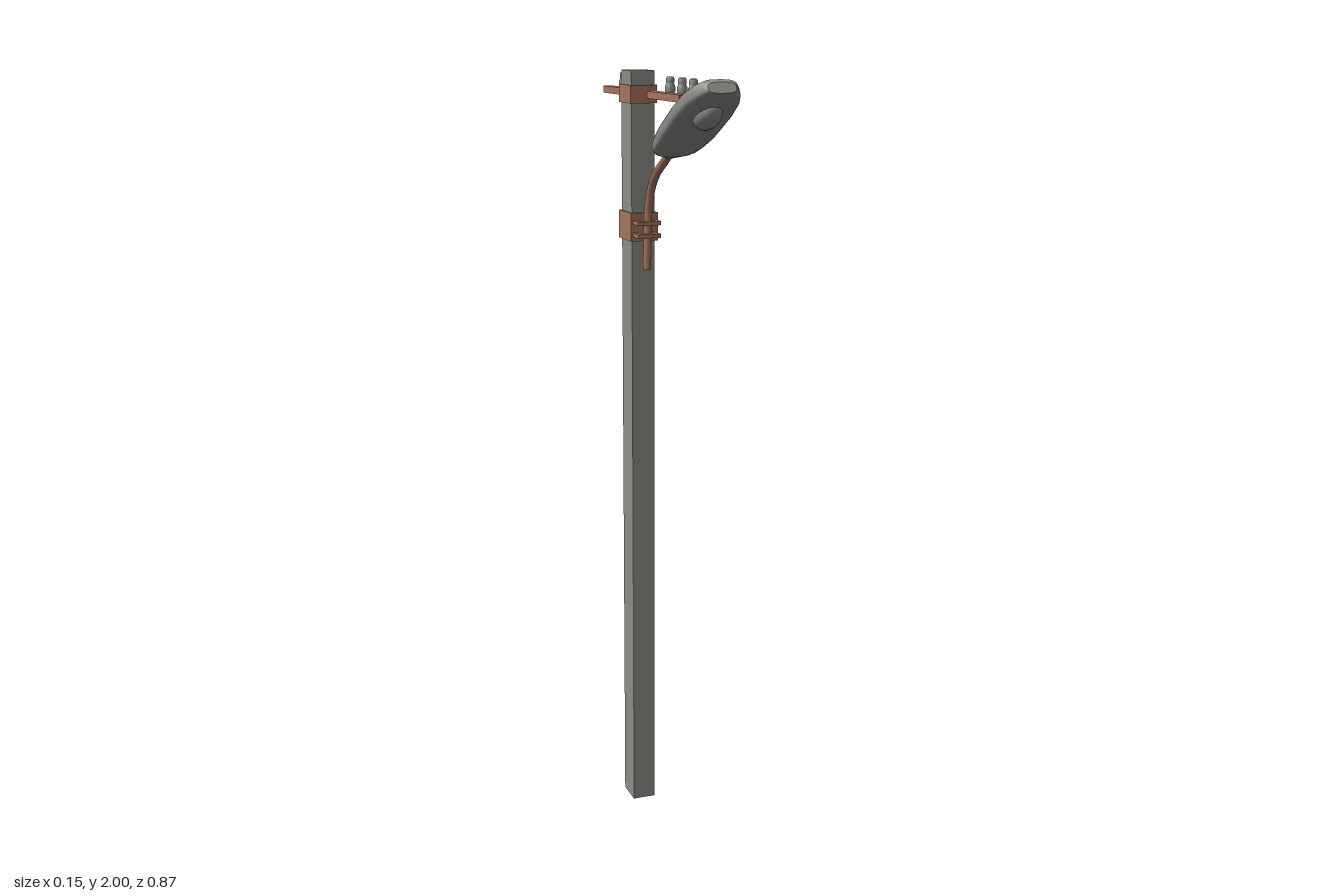
import * as THREE from 'three';

const mat = (name, color) => {
  const m = new THREE.MeshStandardMaterial({ color });
  m.name = name;
  return m;
};

// Closed smooth hull lofted through rounded-rectangle sections [s, halfWidth, top, bottom]
function loft(sections, sides = 32, power = 3.2) {
  const pos = [], idx = [];
  const pw = (v) => Math.sign(v) * Math.abs(v) ** (2 / power);
  for (const [s, w, top, bottom] of sections) {
    const mid = (top + bottom) / 2, h = (top - bottom) / 2;
    for (let j = 0; j < sides; j++) {
      const a = (j / sides) * Math.PI * 2;
      pos.push(w * pw(Math.cos(a)), mid + h * pw(Math.sin(a)), s);
    }
  }
  for (let i = 0; i < sections.length - 1; i++) {
    for (let j = 0; j < sides; j++) {
      const k = (j + 1) % sides;
      const a = i * sides + j, b = i * sides + k;
      idx.push(a, b, a + sides, b, b + sides, a + sides);
    }
  }
  // End caps, with their own corners so the edges stay crisp
  for (const end of [0, sections.length - 1]) {
    const [s, , top, bottom] = sections[end];
    const c = pos.length / 3;
    pos.push(0, (top + bottom) / 2, s);
    for (let j = 0; j < sides; j++) {
      const p = (end * sides + j) * 3;
      pos.push(pos[p], pos[p + 1], pos[p + 2]);
    }
    for (let j = 0; j < sides; j++) {
      const a = c + 1 + j, b = c + 1 + ((j + 1) % sides);
      if (end === 0) idx.push(c, b, a);
      else idx.push(c, a, b);
    }
  }
  const g = new THREE.BufferGeometry();
  g.setAttribute('position', new THREE.Float32BufferAttribute(pos, 3));
  g.setIndex(idx);
  g.computeVertexNormals();
  return g;
}

export function createModel() {
  const model = new THREE.Group();
  model.name = 'streetLightPole';
  const concrete = mat('concreteGrey', 0x8c8c88);
  const rust = mat('rustyMetal', 0xa6765e);

  const add = (name, geo, material, x = 0, y = 0, z = 0, parent = model) => {
    const m = new THREE.Mesh(geo, material);
    m.name = name;
    m.position.set(x, y, z);
    parent.add(m);
    return m;
  };
  const box = (w, h, d) => new THREE.BoxGeometry(w, h, d);
  const poleZ = -0.133;

  add('pole', box(0.062, 2, 0.076), concrete, 0, 1, poleZ);

  // Clamp bands: hollow rectangular collars around the pole
  const collar = (name, y, h, w, d) => {
    const rect = (P, hw, hd) => {
      const p = new P();
      p.moveTo(-hw, -hd).lineTo(hw, -hd).lineTo(hw, hd).lineTo(-hw, hd).closePath();
      return p;
    };
    const shape = rect(THREE.Shape, w / 2, d / 2);
    shape.holes.push(rect(THREE.Path, 0.0305, 0.0375));
    const g = new THREE.ExtrudeGeometry(shape, { depth: h, bevelEnabled: false });
    g.rotateX(-Math.PI / 2);
    add(name, g, rust, 0, y, poleZ);
  };
  collar('upperClamp', 1.92, 0.045, 0.07, 0.088);
  collar('lowerClamp', 1.575, 0.072, 0.073, 0.095);

  // Crossarm with insulators on hooked pins
  add('crossarm', box(0.026, 0.018, 0.57), rust, 0.022, 1.941, -0.15);
  const insulatorProfile = [
    [0, 0], [0.01, 0], [0.013, 0.004], [0.0125, 0.018], [0.0095, 0.023],
    [0.0105, 0.027], [0.0105, 0.036], [0.008, 0.04], [0, 0.04],
  ].map(([r, y]) => new THREE.Vector2(r, y));
  const insulatorGeo = new THREE.LatheGeometry(insulatorProfile, 16);
  const pinPath = new THREE.CatmullRomCurve3([
    new THREE.Vector3(-0.024, -0.008, 0), new THREE.Vector3(-0.008, -0.009, 0),
    new THREE.Vector3(-0.001, -0.006, 0), new THREE.Vector3(0, 0.004, 0),
  ]);
  const pinGeo = new THREE.TubeGeometry(pinPath, 10, 0.003, 8);
  for (const z of [-0.403, -0.316, -0.231, -0.05, 0.033, 0.108]) {
    add('insulator', insulatorGeo, concrete, 0.056, 1.946, z);
    add('insulatorPin', pinGeo, concrete, 0.056, 1.946, z);
  }

  // Bent lamp arm
  const armPath = new THREE.CatmullRomCurve3([
    [1.505, -0.067], [1.6, -0.062], [1.67, -0.053], [1.72, -0.03],
    [1.757, 0.008], [1.785, 0.055], [1.822, 0.115],
  ].map(([y, z]) => new THREE.Vector3(0, y, z)));
  add('lampArm', new THREE.TubeGeometry(armPath, 40, 0.0105, 14), rust);
  const cap = add('armEnd', new THREE.CircleGeometry(0.0105, 14), rust, 0, 1.505, -0.067);
  cap.rotation.x = Math.PI / 2;

  // Two brackets holding the arm against the lower clamp
  for (const y of [1.592, 1.624]) {
    add('armBracketFront', box(0.062, 0.01, 0.008), rust, 0, y, -0.05);
    for (const side of [-1, 1]) {
      add('armBracketSide', box(0.012, 0.01, 0.042), rust, side * 0.025, y, -0.067);
    }
  }

  // Tilted lamp head
  const lamp = new THREE.Group();
  lamp.name = 'lampHead';
  lamp.position.set(0, 1.81, 0.095);
  lamp.rotation.x = -0.506;
  model.add(lamp);
  add('lampHousing', loft([
    [-0.005, 0.012, 0.012, -0.012], [0.008, 0.017, 0.015, -0.016],
    [0.017, 0.035, 0.017, -0.018], [0.025, 0.05, 0.018, -0.02],
    [0.04, 0.058, 0.019, -0.023], [0.075, 0.065, 0.02, -0.027],
    [0.13, 0.071, 0.021, -0.031], [0.235, 0.073, 0.021, -0.032],
    [0.3, 0.068, 0.02, -0.031], [0.335, 0.057, 0.018, -0.03],
    [0.358, 0.044, 0.014, -0.028], [0.37, 0.034, 0.001, -0.026],
  ]), concrete, 0, 0, 0, lamp);
  const lens = add('lampLens', new THREE.SphereGeometry(1, 24, 16), concrete, 0, -0.026, 0.262, lamp);
  lens.scale.set(0.033, 0.031, 0.05);

  return model;
}
